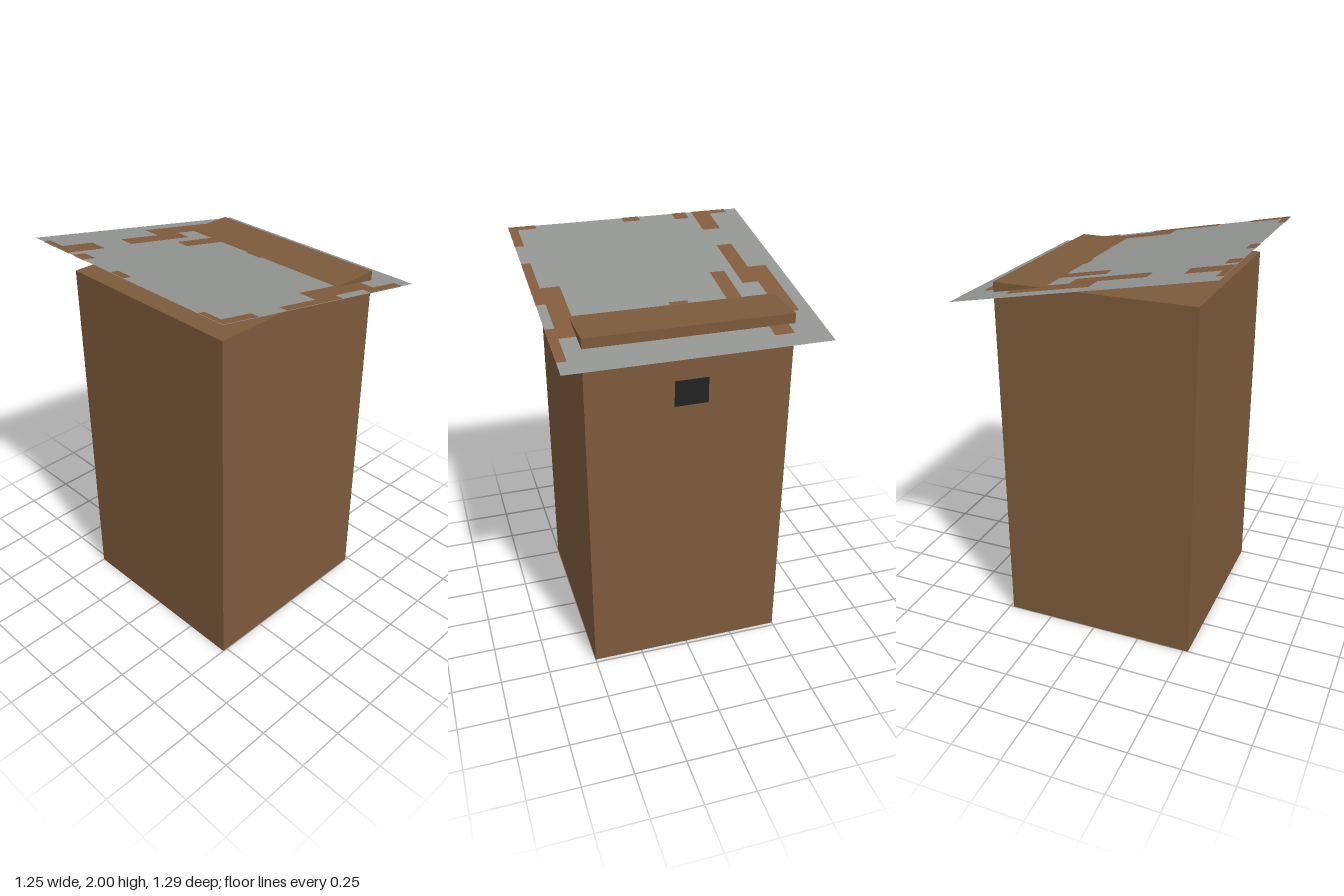
import * as THREE from 'three';

export function createModel() {
  const model = new THREE.Group();
  model.name = 'outhouse';

  const wood = new THREE.MeshStandardMaterial({ color: 0x7d5a3b });
  const tin = new THREE.MeshStandardMaterial({ color: 0x929492, side: THREE.DoubleSide });
  const rust = new THREE.MeshStandardMaterial({ color: 0x815b3c, side: THREE.DoubleSide });
  const dark = new THREE.MeshStandardMaterial({ color: 0x222222, side: THREE.DoubleSide });
  wood.name = 'wood';
  tin.name = 'tin';
  rust.name = 'rust';
  dark.name = 'dark';

  const add = (parent, name, geometry, material, x, y, z) => {
    const mesh = new THREE.Mesh(geometry, material);
    mesh.name = name;
    mesh.position.set(x, y, z);
    parent.add(mesh);
    return mesh;
  };

  // Plain box cabin whose back rim pokes through the roof
  add(model, 'cabin', new THREE.BoxGeometry(1, 1.835, 1.005), wood, 0, 0.9175, 0.0225);

  // Small vent standing just off the back wall
  add(model, 'vent', new THREE.PlaneGeometry(0.165, 0.13).rotateY(Math.PI), dark, 0, 1.517, -0.5);

  // Sheet roof, high at the front and low at the back
  const depth = 1.29, low = 1.754, high = 2;
  const angle = Math.atan2(high - low, depth);
  const stretch = 1 / Math.cos(angle);
  const roof = new THREE.Group();
  roof.name = 'roof';
  roof.position.y = (low + high) / 2;
  roof.rotation.x = -angle;
  model.add(roof);
  const sheet = (w, d) => new THREE.PlaneGeometry(w, d * stretch).rotateX(-Math.PI / 2);
  add(roof, 'roofSheet', sheet(1.25, depth), tin, 0, 0, 0);

  // Rust patches on both faces of the sheet: x from, x to, z from, z to
  const patches = [
    [-0.465, -0.37, -0.555, -0.305],
    [-0.56, -0.465, -0.385, 0.035],
    [-0.465, -0.385, -0.105, 0.27],
    [-0.335, -0.26, -0.415, 0.02],
    [-0.07, 0.02, -0.395, -0.2],
    [0.485, 0.58, -0.385, 0.035],
    [0.58, 0.625, -0.555, -0.305],
    [0.58, 0.625, -0.105, 0.27],
    [-0.465, -0.37, 0.44, 0.645],
    [-0.56, -0.465, 0.61, 0.645],
    [-0.335, -0.26, 0.58, 0.645],
    [-0.07, 0.02, 0.6, 0.645],
    [0.485, 0.58, 0.61, 0.645],
    [0.58, 0.625, 0.44, 0.645],
  ];
  for (const [x0, x1, z0, z1] of patches) {
    for (const y of [-0.002, 0.002]) {
      add(roof, 'rustPatch', sheet(x1 - x0, z1 - z0), rust,
        (x0 + x1) / 2, y, (z0 + z1) / 2 * stretch);
    }
  }
  return model;
}
